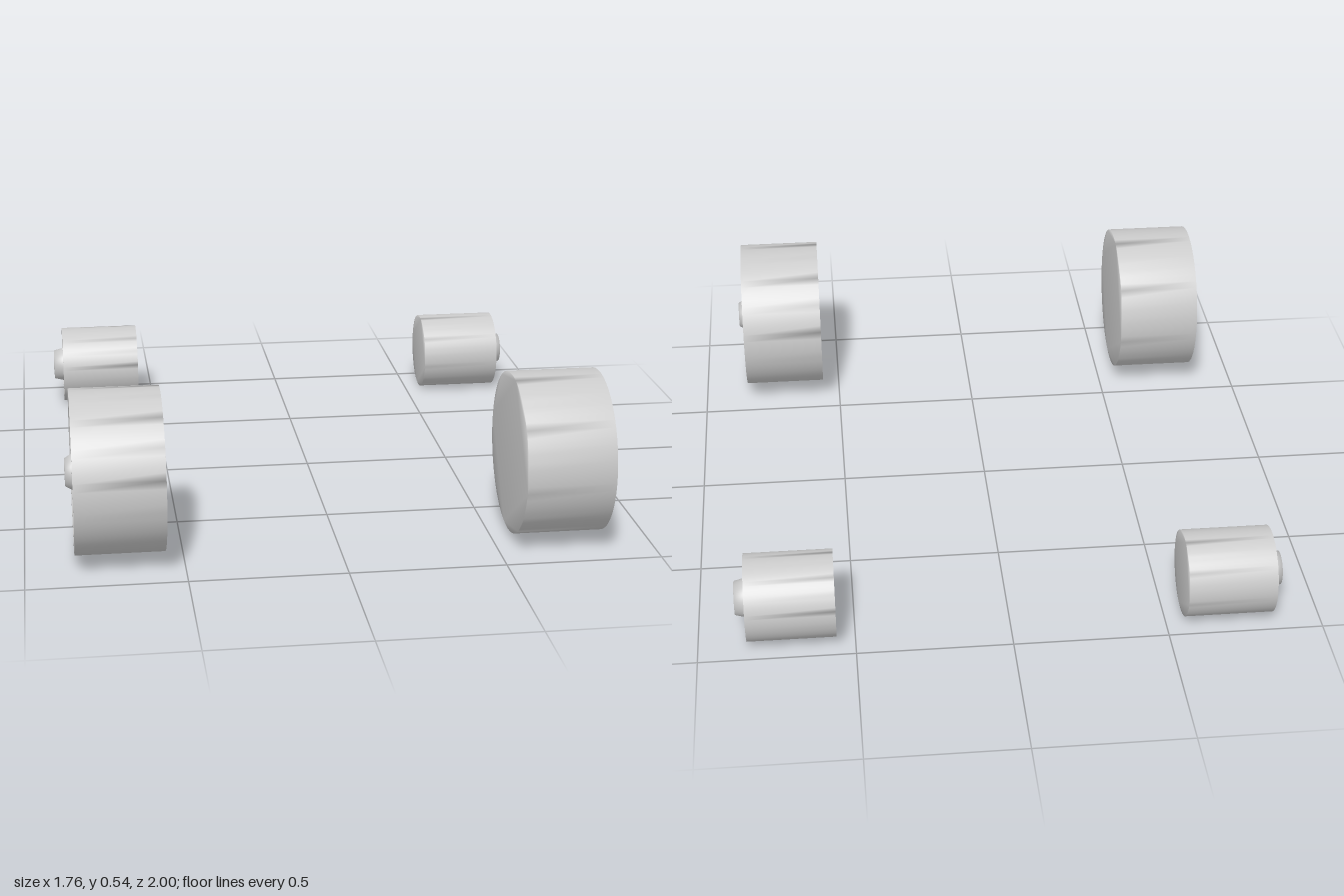
import * as THREE from 'three';
import { mergeGeometries, mergeVertices } from 'three/addons/utils/BufferGeometryUtils.js';

const SEGMENTS = 64;
const INNER_X = 0.56;

// Wheel turned about its axle: closed flat inner face, dished outer face, central hub.
// The profile is [radius, distance from the inner face].
function wheelGeometry(profile) {
  const radius = profile[0][0];
  const body = new THREE.LatheGeometry(
    profile.map(([r, d]) => new THREE.Vector2(r, d)), SEGMENTS);

  const rim = [];
  for (let i = 0; i < SEGMENTS; i++) {
    const a = (i / SEGMENTS) * Math.PI * 2;
    rim.push(new THREE.Vector2(Math.cos(a) * radius, Math.sin(a) * radius));
  }
  const cap = new THREE.ShapeGeometry(new THREE.Shape(rim)).rotateX(Math.PI / 2);

  // Weld everything so the shading runs smoothly over the edges
  let geometry = mergeGeometries([body, cap]);
  geometry.deleteAttribute('normal');
  geometry.deleteAttribute('uv');
  geometry = mergeVertices(geometry);
  geometry.computeVertexNormals();
  return geometry.rotateZ(-Math.PI / 2).translate(INNER_X, 0, 0);
}

export function createModel() {
  const group = new THREE.Group();
  const material = new THREE.MeshStandardMaterial({ color: 0xcccccc });

  const axles = [
    {
      name: 'front', y: 0.281, z: 0.738,
      profile: [
        [0.262, 0], [0.262, 0.284], [0.228, 0.284], [0.218, 0.25], [0.195, 0.222],
        [0.155, 0.2], [0.105, 0.185], [0.07, 0.183], [0.058, 0.195],
        [0.058, 0.281], [0.044, 0.304], [0, 0.305],
      ],
    },
    {
      name: 'rear', y: 0.141, z: -0.86,
      profile: [
        [0.14, 0], [0.14, 0.284], [0.122, 0.284], [0.117, 0.25], [0.108, 0.222],
        [0.093, 0.203], [0.075, 0.198], [0.063, 0.21],
        [0.062, 0.285], [0.054, 0.317], [0, 0.32],
      ],
    },
  ];

  // One wheel on each side of both axles
  for (const { name, y, z, profile } of axles) {
    const geometry = wheelGeometry(profile);
    for (const side of ['Left', 'Right']) {
      const wheel = new THREE.Mesh(geometry, material);
      wheel.name = `${name}${side}Wheel`;
      wheel.position.set(0, y, z);
      if (side === 'Right') wheel.rotation.y = Math.PI;
      group.add(wheel);
    }
  }
  return group;
}
